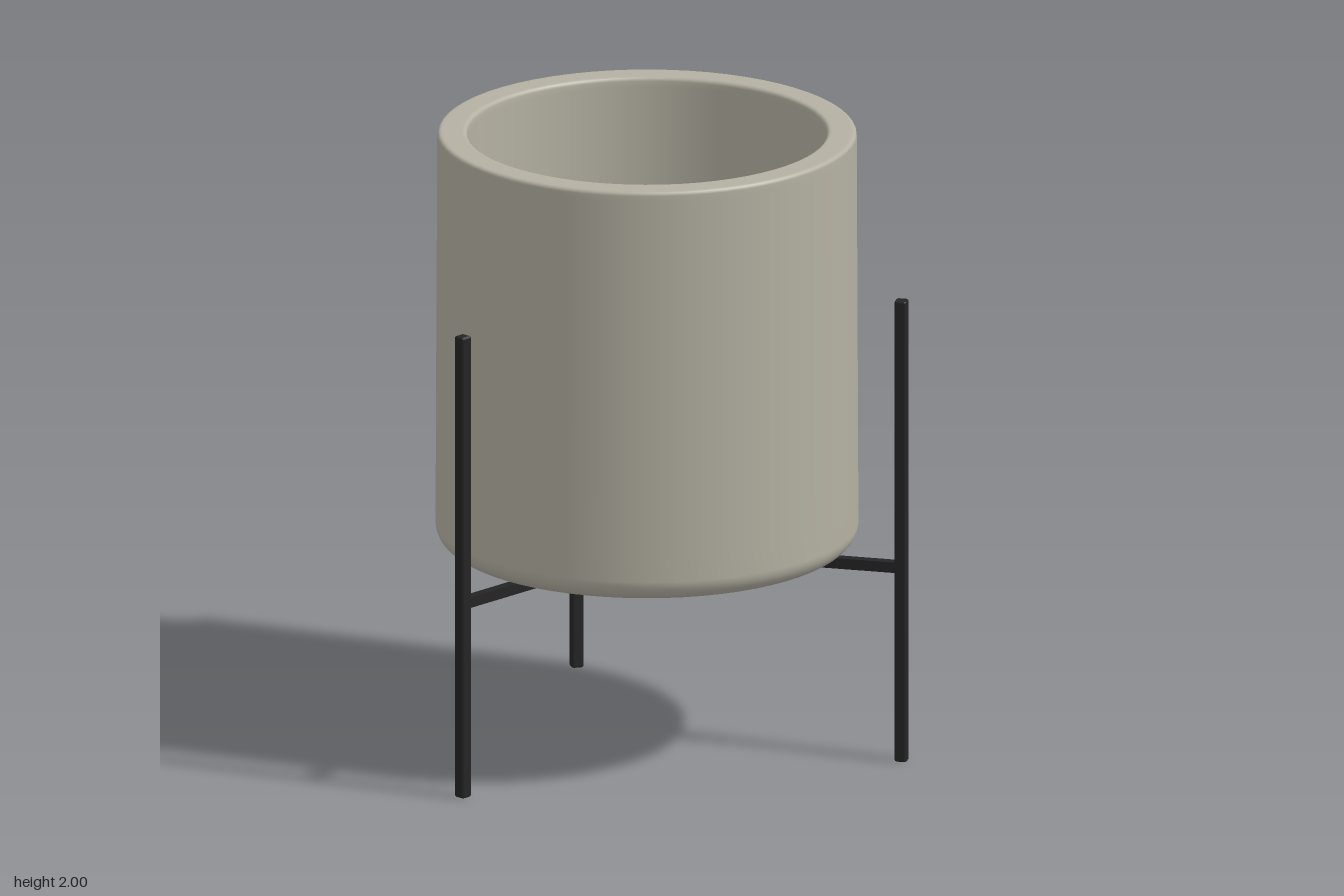
import * as THREE from 'three';
import { RoundedBoxGeometry } from 'three/addons/geometries/RoundedBoxGeometry.js';

export function createModel() {
  const model = new THREE.Group();
  model.name = 'planterOnStand';

  const ceramic = new THREE.MeshStandardMaterial({ color: 0xb4b0a2 });
  ceramic.name = 'warm grey ceramic';
  const metal = new THREE.MeshStandardMaterial({ color: 0x252526 });
  metal.name = 'black metal';

  // Rounded corner of the pot profile, from angle a to angle b (degrees)
  const corner = (cx, cy, r, a, b, steps) => {
    const points = [];
    for (let i = 0; i <= steps; i++) {
      const t = THREE.MathUtils.degToRad(a + ((b - a) * i) / steps);
      points.push(new THREE.Vector2(cx + r * Math.cos(t), cy + r * Math.sin(t)));
    }
    return points;
  };

  // Pot: hollow, thick walled, with a rounded foot and a softened rim
  const profile = [
    new THREE.Vector2(0, 0.652),
    new THREE.Vector2(0.57, 0.653),
    ...corner(0.592, 0.725, 0.07, -90, 0, 8),
    new THREE.Vector2(0.661, 0.8),
    new THREE.Vector2(0.656, 1.97),
    ...corner(0.643, 1.987, 0.013, 0, 90, 4),
    new THREE.Vector2(0.635, 2),
    new THREE.Vector2(0.582, 2),
    ...corner(0.576, 1.987, 0.013, 90, 180, 4),
    new THREE.Vector2(0.562, 1.97),
    new THREE.Vector2(0.56, 0.77),
    new THREE.Vector2(0.56, 0.755),
    new THREE.Vector2(0.545, 0.75),
    new THREE.Vector2(0, 0.75),
  ];
  const pot = new THREE.Mesh(new THREE.LatheGeometry(profile, 64), ceramic);
  pot.name = 'pot';
  model.add(pot);

  // Stand: three upright legs, each joined to the centre by a spoke
  const legGeometry = new RoundedBoxGeometry(0.04, 1.51, 0.04, 1, 0.008);
  const spokeGeometry = new THREE.BoxGeometry(0.82, 0.034, 0.032);
  for (let i = 0; i < 3; i++) {
    const arm = new THREE.Group();
    arm.name = 'standArm' + (i + 1);
    arm.rotation.y = THREE.MathUtils.degToRad(-42 - i * 120);

    const leg = new THREE.Mesh(legGeometry, metal);
    leg.name = 'leg';
    leg.position.set(0.822, 0.755, 0);

    const spoke = new THREE.Mesh(spokeGeometry, metal);
    spoke.name = 'spoke';
    spoke.position.set(0.41, 0.635, 0);

    arm.add(leg, spoke);
    model.add(arm);
  }

  // The three-legged footprint is off-centre within its bounding box
  model.position.set(0.07, 0, 0.08);
  const root = new THREE.Group();
  root.name = 'planter';
  root.add(model);
  return root;
}
